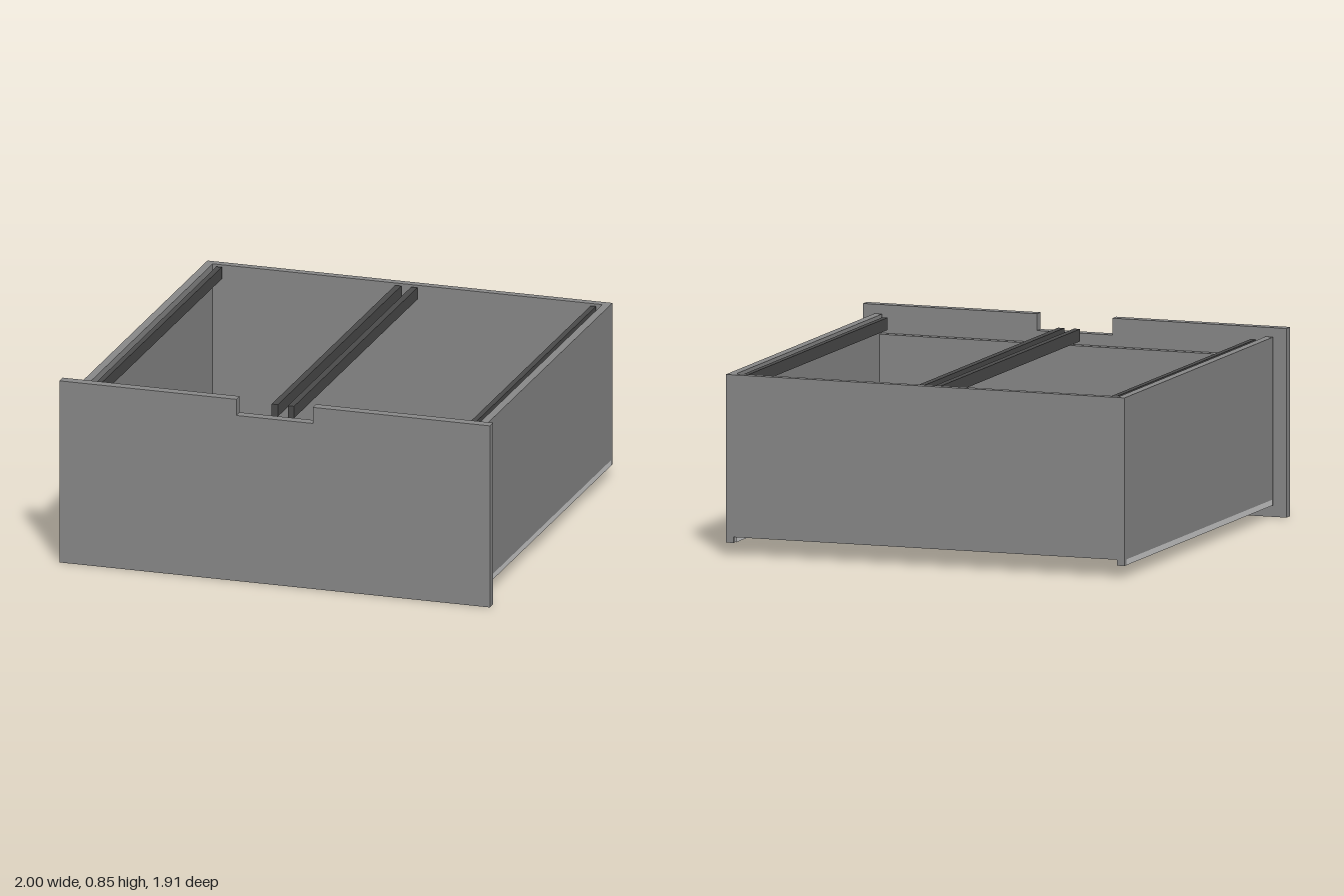
import * as THREE from 'three';

export function createModel() {
  const board = new THREE.MeshStandardMaterial({ color: 0x888888 });
  board.name = 'grey board';
  const dark = new THREE.MeshStandardMaterial({ color: 0x4a4a4a });
  dark.name = 'dark rail';
  const light = new THREE.MeshStandardMaterial({ color: 0xcccccc });
  light.name = 'light metal';

  const drawer = new THREE.Group();
  drawer.name = 'drawer';

  // Box given by its lower and upper corners
  function box(name, material, [x0, y0, z0], [x1, y1, z1]) {
    const mesh = new THREE.Mesh(new THREE.BoxGeometry(x1 - x0, y1 - y0, z1 - z0), material);
    mesh.position.set((x0 + x1) / 2, (y0 + y1) / 2, (z0 + z1) / 2);
    mesh.name = name;
    drawer.add(mesh);
  }

  // Front panel with the hand notch in its top edge
  const outline = new THREE.Shape([
    [-1, 0], [1, 0], [1, 0.845], [0.178, 0.845],
    [0.178, 0.77], [-0.178, 0.77], [-0.178, 0.845], [-1, 0.845],
  ].map(([x, y]) => new THREE.Vector2(x, y)));
  const front = new THREE.Mesh(
    new THREE.ExtrudeGeometry(outline, { depth: 0.046, bevelEnabled: false }), board);
  front.position.z = 0.907;
  front.name = 'frontPanel';
  drawer.add(front);

  // Drawer box: the inner front wall is lower than the others
  box('backWall', board, [-0.905, 0.08, -0.953], [0.905, 0.805, -0.917]);
  box('innerFrontWall', board, [-0.905, 0.08, 0.861], [0.905, 0.72, 0.897]);
  box('floor', board, [-0.905, 0.083, -0.917], [0.905, 0.122, 0.861]);

  for (const side of [-1, 1]) {
    const label = side > 0 ? 'left' : 'right';
    const span = (name, material, a, b, y0, y1, z0, z1) =>
      box(label + name, material,
        [Math.min(side * a, side * b), y0, z0], [Math.max(side * a, side * b), y1, z1]);

    // Side wall, with feet at both ends of the runner
    span('SideWall', board, 0.905, 0.941, 0.08, 0.805, -0.953, 0.897);
    span('BackFoot', board, 0.905, 0.941, 0.054, 0.08, -0.953, -0.93);
    span('FrontFoot', board, 0.905, 0.941, 0.054, 0.08, 0.88, 0.897);
    span('Runner', light, 0.9, 0.941, 0.054, 0.08, -0.93, 0.88);

    // Hanging file rails beside the wall and beside the centre line
    span('OuterRail', dark, 0.857, 0.882, 0.745, 0.8, -0.9, 0.838);
    span('MiddleRail', dark, 0.023, 0.052, 0.745, 0.8, -0.9, 0.838);
  }

  return drawer;
}
